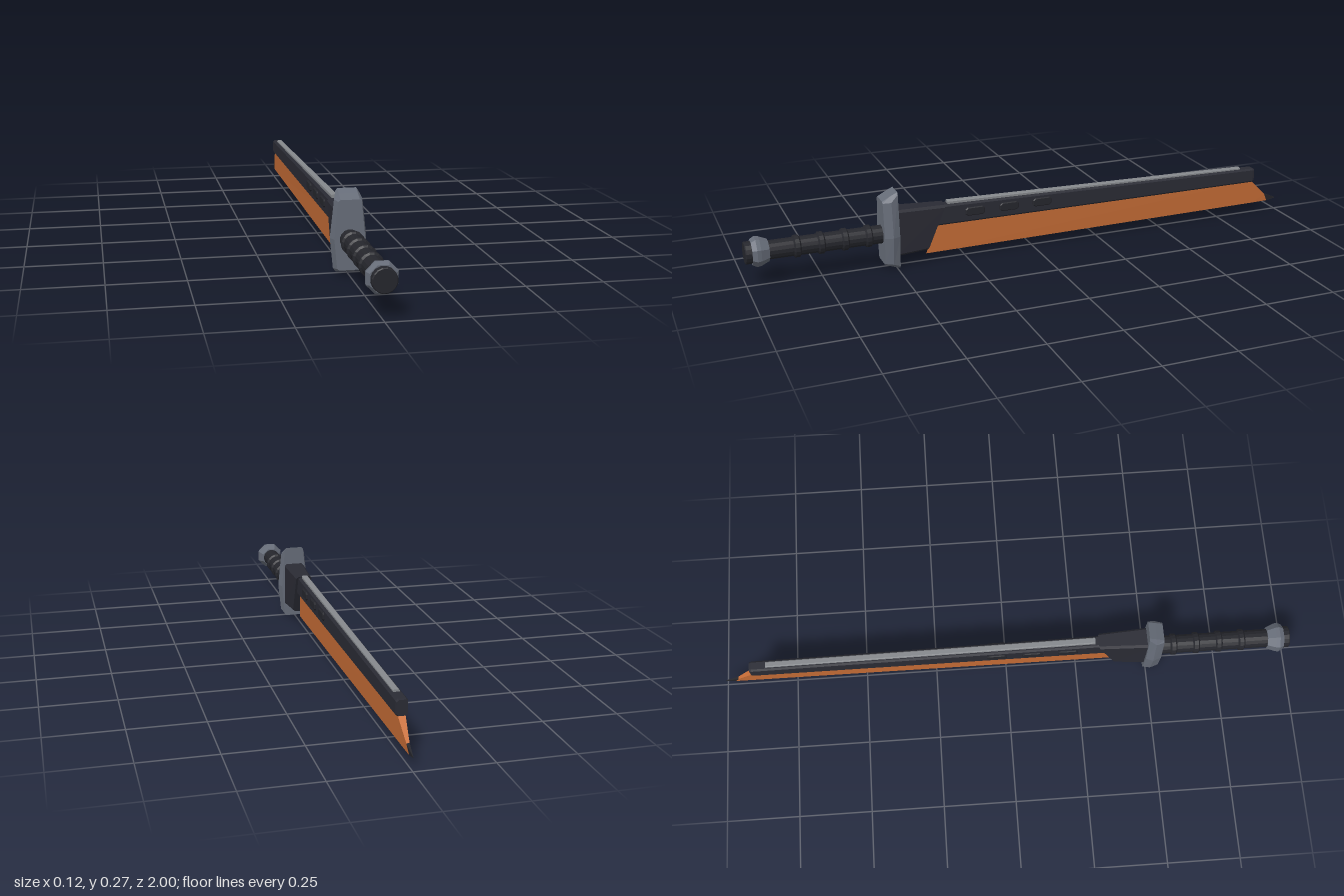
import * as THREE from 'three';

const mat = (name, color) => {
  const m = new THREE.MeshStandardMaterial({ color });
  m.name = name;
  return m;
};

// Flat-faced skin over convex rings of [x, y, z], counter-clockwise seen from +z, running towards -z
function loft(rings) {
  const pos = [];
  const tri = (a, b, c) => pos.push(...a, ...b, ...c);
  const n = rings[0].length;
  for (let i = 0; i < rings.length - 1; i++) {
    for (let j = 0; j < n; j++) {
      const k = (j + 1) % n, r = rings[i], s = rings[i + 1];
      tri(r[j], s[j], s[k]);
      tri(r[j], s[k], r[k]);
    }
  }
  const first = rings[0], last = rings[rings.length - 1];
  for (let j = 1; j < n - 1; j++) {
    tri(first[0], first[j], first[j + 1]);
    tri(last[0], last[j + 1], last[j]);
  }
  const g = new THREE.BufferGeometry();
  g.setAttribute('position', new THREE.Float32BufferAttribute(pos, 3));
  g.computeVertexNormals();
  return g;
}

// Mirrored ring from its right half, listed bottom to top as [x, y, z]
const mirrorRing = (half) => [...half, ...half.slice().reverse().map(([x, y, z]) => [-x, y, z])];

// Box section with chamfered corners; z may differ between bottom and top
const section = (w, y0, y1, c, z0, z1 = z0) => {
  const z = (y) => z0 + (z1 - z0) * (y - y0) / (y1 - y0);
  return mirrorRing([[w - c, y0], [w, y0 + c], [w, y1 - c], [w - c, y1]].map(([x, y]) => [x, y, z(y)]));
};

export function createModel() {
  const group = new THREE.Group();
  const orange = mat('orange blade', 0xcc7038);
  const dark = mat('dark housing', 0x2a2b34);
  const black = mat('black grip', 0x25262c);
  const steel = mat('grey steel', 0x666c78);
  const silver = mat('silver rail', 0x85888c);
  const axisY = 0.118;

  const add = (name, geometry, material) => {
    const m = new THREE.Mesh(geometry, material);
    m.name = name;
    group.add(m);
    return m;
  };

  // Turned part along z from [radius, z] points, front to back, with flat facets
  const turned = (name, profile, sides, material) => {
    const rings = profile.map(([r, z]) => Array.from({ length: sides }, (_, i) => {
      const a = (i + 0.5) / sides * Math.PI * 2;
      return [r * Math.cos(a), axisY + r * Math.sin(a), z];
    }));
    return add(name, loft(rings), material);
  };

  // Handle with raised bands
  turned('grip', [[0.032, 0.95], [0.032, 0.52]], 16, black);
  for (const z of [0.83, 0.75, 0.67, 0.59]) {
    turned('gripBand', [[0.032, z + 0.012], [0.038, z + 0.007], [0.038, z - 0.007], [0.032, z - 0.012]], 16, black);
  }

  // Pommel and end cap
  turned('pommel', [[0.043, 0.978], [0.051, 0.963], [0.049, 0.95], [0.037, 0.922]], 8, steel);
  turned('pommelCap', [[0.035, 1], [0.038, 0.997], [0.038, 0.97]], 16, black);

  // Faceted cross guard
  const guardRings = [
    [0.543, [[0.033, 0.019], [0.04, 0.024], [0.049, axisY], [0.037, 0.238], [0.03, 0.243]]],
    [0.515, [[0.035, 0.008], [0.048, 0.02], [0.058, axisY], [0.045, 0.24], [0.03, 0.258]]],
    [0.49, [[0.033, 0], [0.039, 0.008], [0.048, axisY], [0.036, 0.262], [0.03, 0.27]]],
  ];
  add('crossGuard', loft(guardRings.map(([z, half]) => mirrorRing(half.map(([x, y]) => [x, y, z])))), steel);

  // Collar with a slanted end
  add('collar', loft([
    section(0.037, 0.042, 0.206, 0.008, 0.495),
    section(0.029, 0.046, 0.2, 0.008, 0.388, 0.322),
  ]), dark);

  // Spine housing, slightly tapered
  add('spine', loft([
    section(0.021, 0.126, 0.198, 0.006, 0.36),
    section(0.019, 0.124, 0.177, 0.006, -0.885),
    section(0.017, 0.126, 0.175, 0.006, -0.893),
  ]), dark);

  // Rail on top of the spine
  add('topRail', loft([
    section(0.011, 0.19, 0.208, 0.003, 0.31),
    section(0.01, 0.172, 0.185, 0.003, -0.835),
  ]), silver);

  // Raised slots on both sides of the spine
  const slot = new THREE.Shape([[-0.035, -0.008], [-0.027, -0.015], [0.027, -0.015],
    [0.035, -0.008], [0.035, 0.008], [0.027, 0.015], [-0.027, 0.015], [-0.035, 0.008]]
    .map(([x, y]) => new THREE.Vector2(x, y)));
  const slotGeometry = new THREE.ExtrudeGeometry(slot, {
    depth: 0.006, bevelEnabled: true, bevelThickness: 0.003, bevelSize: 0.003, bevelOffset: -0.003, bevelSegments: 1,
  });
  for (const z of [0.215, 0.09, -0.033]) {
    for (const side of [1, -1]) {
      const m = add('sideSlot', slotGeometry, black);
      m.position.set(side * 0.017, 0.164, z);
      m.rotation.y = side * Math.PI / 2;
    }
  }

  // Wedge blade and its dark point
  const wedge = (w, topY, topZ, botY, botZ) => mirrorRing([[0.0008, botY, botZ], [w, topY, topZ]]);
  const tipBase = wedge(0.005, 0.066, -0.95, 0.036, -0.965);
  add('blade', loft([
    wedge(0.013, 0.14, 0.338, 0.024, 0.387),
    wedge(0.012, 0.128, -0.885, 0.035, -0.9),
    tipBase,
  ]), orange);
  add('bladePoint', loft([tipBase, wedge(0.0005, 0.045, -1, 0.042, -1)]), black);

  return group;
}
